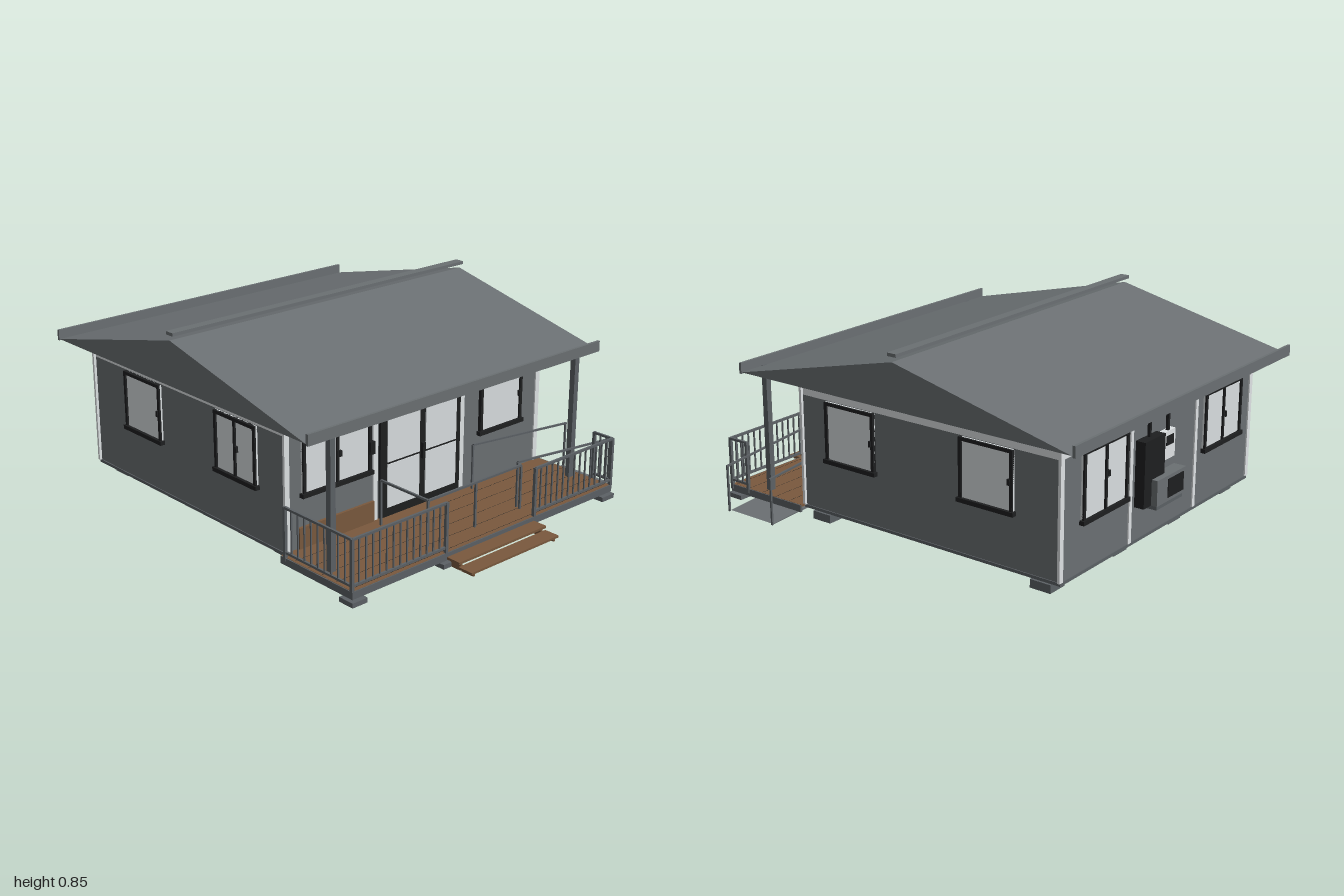
import * as THREE from 'three';

const mat = (name, color) => {
  const m = new THREE.MeshStandardMaterial({ color });
  m.name = name;
  return m;
};

export function createModel() {
  const grey = mat('slate grey', 0x6b7073);
  const light = mat('pale trim', 0xdfe3e5);
  const glass = mat('pale glass', 0xd9dee0);
  const black = mat('black frame', 0x1e1f20);
  const wood = mat('brown decking', 0x7a593d);
  const steel = mat('steel grey', 0x5c6165);

  const root = new THREE.Group();
  root.name = 'porchHouse';
  const group = (name) => {
    const g = new THREE.Group();
    g.name = name;
    root.add(g);
    return g;
  };
  // Box given by its limits on each axis
  const box = (parent, name, m, x0, x1, y0, y1, z0, z1) => {
    const mesh = new THREE.Mesh(new THREE.BoxGeometry(x1 - x0, y1 - y0, z1 - z0), m);
    mesh.position.set((x0 + x1) / 2, (y0 + y1) / 2, (z0 + z1) / 2);
    mesh.name = name;
    parent.add(mesh);
    return mesh;
  };
  // Square bar between two points
  const bar = (parent, name, m, a, b, t = 0.01) => {
    const p = new THREE.Vector3(...a), q = new THREE.Vector3(...b);
    const mesh = new THREE.Mesh(new THREE.BoxGeometry(t, t, p.distanceTo(q)), m);
    mesh.position.copy(p).lerp(q, 0.5);
    mesh.lookAt(q);
    mesh.name = name;
    parent.add(mesh);
  };

  // Walls: grey lower part, pale band under the roof
  const L = -0.755, R = 0.685, F = 0.445, B = -0.87;
  const walls = group('walls');
  box(walls, 'wall', grey, L, R, 0.05, 0.545, B, F);
  box(walls, 'wallBand', light, L, R, 0.545, 0.61, B, F);
  box(walls, 'floorSkirt', steel, L - 0.004, R + 0.004, 0.043, 0.056, B - 0.004, F + 0.004);
  for (const x of [L, R]) for (const z of [B, F]) {
    box(walls, 'cornerTrim', light, x - 0.012, x + 0.012, 0.056, 0.61, z - 0.006, z + 0.006);
  }
  for (const x of [0.21, -0.29]) {
    box(walls, 'backStrip', light, x - 0.01, x + 0.01, 0.056, 0.61, B - 0.006, B);
    box(walls, 'frontStrip', light, x - 0.012, x + 0.012, 0.056, 0.61, F, F + 0.006);
  }
  for (const x of [-0.51, -0.27, -0.03, 0.21, 0.45]) {
    box(walls, 'floorSeam', black, x - 0.002, x + 0.002, 0.041, 0.044, B, F);
  }

  // Roof: closed low gable, edge boards and raised ridge cap
  const roof = group('roof');
  const gable = new THREE.Shape([
    new THREE.Vector2(-0.69, 0.62), new THREE.Vector2(0.985, 0.62), new THREE.Vector2(0.145, 0.815),
  ]);
  const prism = new THREE.ExtrudeGeometry(gable, { depth: 1.65, bevelEnabled: false });
  prism.rotateY(Math.PI / 2);
  prism.translate(-0.86, 0, 0);
  const roofMesh = new THREE.Mesh(prism, grey);
  roofMesh.name = 'gableRoof';
  roof.add(roofMesh);
  box(roof, 'frontFascia', grey, -0.86, 0.79, 0.613, 0.66, 0.69, 0.702);
  box(roof, 'backFascia', grey, -0.86, 0.79, 0.613, 0.66, -1, -0.988);
  box(roof, 'ridgeCap', grey, -0.86, 0.79, 0.836, 0.85, -0.167, -0.123);

  // Window facing local +z, centred on its position
  const addWindow = (name, x, z, turn, w, y0, y1, panes) => {
    const g = group(name);
    g.position.set(x, 0, z);
    g.rotation.y = turn;
    const h = w / 2, t = 0.014;
    box(g, 'glass', glass, -h, h, y0, y1, 0, 0.008);
    box(g, 'head', black, -h, h, y1 - t, y1, 0, 0.016);
    box(g, 'sill', black, -h - 0.008, h + 0.008, y0 - 0.004, y0 + t, 0, 0.022);
    for (const s of [-1, 1]) {
      const c = s * (h - t / 2);
      box(g, 'jamb', black, c - t / 2, c + t / 2, y0, y1, 0, 0.016);
    }
    if (panes > 1) box(g, 'mullion', black, -0.006, 0.006, y0, y1, 0, 0.016);
    const lx = panes > 1 ? 0.012 : h - 0.016;
    box(g, 'latch', black, lx - 0.006, lx + 0.006, 0.4, 0.425, 0, 0.02);
  };
  const q = Math.PI / 2;
  addWindow('frontLeftWindow', -0.5, F, 0, 0.36, 0.28, 0.545, 2);
  addWindow('frontRightWindow', 0.445, F, 0, 0.26, 0.28, 0.545, 1);
  addWindow('sideWindow', R, 0.175, q, 0.265, 0.28, 0.543, 1);
  addWindow('sideWindow', R, -0.525, q, 0.26, 0.28, 0.543, 1);
  addWindow('sideWindow', L, 0.14, -q, 0.265, 0.28, 0.543, 2);
  addWindow('sideWindow', L, -0.5, -q, 0.26, 0.28, 0.543, 1);
  addWindow('backWindow', 0.4, B, Math.PI, 0.31, 0.255, 0.545, 2);
  addWindow('backWindow', -0.505, B, Math.PI, 0.31, 0.285, 0.545, 2);

  // Double glass doors
  const doors = group('glassDoors');
  box(doors, 'doorFrame', black, -0.268, 0.192, 0.056, 0.525, F, F + 0.012);
  for (const [x0, x1] of [[-0.232, -0.05], [-0.015, 0.165]]) {
    box(doors, 'upperGlass', glass, x0, x1, 0.302, 0.497, F + 0.008, F + 0.016);
    box(doors, 'lowerGlass', glass, x0, x1, 0.1, 0.292, F + 0.008, F + 0.016);
  }
  box(doors, 'doorHandle', black, -0.04, -0.025, 0.27, 0.34, F, F + 0.026);

  // Front wall fittings
  const fittings = group('frontFittings');
  box(fittings, 'woodPanel', wood, -0.7, -0.3, 0.06, 0.15, F, F + 0.012);
  box(fittings, 'woodSlat', wood, -0.7, -0.31, 0.56, 0.57, F, F + 0.02);
  box(fittings, 'wallLamp', black, -0.335, -0.31, 0.365, 0.42, F, F + 0.025);
  box(fittings, 'wallLamp', black, 0.615, 0.647, 0.492, 0.522, F, F + 0.025);
  const ring = new THREE.Mesh(new THREE.TorusGeometry(0.012, 0.002, 6, 20), black);
  ring.position.set(0.253, 0.547, F + 0.006);
  ring.name = 'wallRing';
  fittings.add(ring);

  // Utility boxes on the back wall
  const utility = group('utilityUnits');
  box(utility, 'tallCabinet', black, 0.025, 0.175, 0.2, 0.48, -0.915, B);
  box(utility, 'heatPump', grey, -0.1, 0.12, 0.2, 0.31, -0.942, -0.885);
  box(utility, 'pumpGrille', black, -0.08, 0.04, 0.215, 0.295, -0.945, -0.941);
  box(utility, 'bracket', steel, -0.09, 0.11, 0.18, 0.2, -0.935, B);
  box(utility, 'meterBox', light, -0.085, 0.0, 0.35, 0.47, -0.895, B);
  box(utility, 'meterScreen', black, -0.07, -0.015, 0.41, 0.45, -0.898, -0.894);
  for (const x of [0.1, -0.04]) bar(utility, 'conduit', black, [x, 0.47, -0.885], [x, 0.62, -0.885], 0.012);

  // Foundation pads
  const pads = group('foundation');
  for (const x of [-0.66, -0.22, 0.2, 0.64]) for (const z of [-0.78, 0.355]) {
    box(pads, 'pad', steel, x - 0.047, x + 0.047, 0, 0.036, z - 0.048, z + 0.048);
    box(pads, 'padPlate', steel, x - 0.03, x + 0.03, 0.03, 0.046, z - 0.03, z + 0.03);
  }
  for (const x of [-0.22, 0.2]) box(pads, 'pipeStub', steel, x - 0.02, x + 0.02, 0.014, 0.03, -0.74, -0.66);
  for (const x of [-0.76, -0.28, 0.215, 0.69]) {
    box(pads, 'deckFoot', steel, x - 0.038, x + 0.038, 0, 0.02, 0.8, 0.876);
    box(pads, 'deckStub', steel, x - 0.012, x + 0.012, 0.02, 0.04, 0.826, 0.85);
  }

  // Deck with plank top, edge frame and joists
  const deck = group('deck');
  box(deck, 'planks', wood, -0.785, 0.715, 0.05, 0.06, F, 0.86);
  box(deck, 'frontEdge', steel, -0.79, 0.72, 0.028, 0.059, 0.855, 0.865);
  for (const x of [-0.79, 0.71]) box(deck, 'sideEdge', steel, x, x + 0.01, 0.028, 0.059, F, 0.86);
  for (const x of [-0.53, -0.28, -0.03, 0.215, 0.47]) {
    box(deck, 'joist', steel, x - 0.006, x + 0.006, 0.03, 0.05, F, 0.86);
  }
  for (let z = 0.52; z < 0.86; z += 0.08) box(deck, 'plankGap', black, -0.78, 0.71, 0.06, 0.0603, z, z + 0.0015);

  // Two wooden steps
  const steps = group('steps');
  box(steps, 'upperTread', wood, -0.29, 0.22, 0.032, 0.042, 0.86, 0.932);
  box(steps, 'lowerTread', wood, -0.29, 0.22, 0.013, 0.022, 0.928, 1);
  for (const x of [-0.27, 0.2]) {
    box(steps, 'upperLeg', wood, x - 0.005, x + 0.005, 0, 0.032, 0.87, 0.925);
    box(steps, 'lowerLeg', wood, x - 0.005, x + 0.005, 0, 0.014, 0.93, 0.995);
  }

  // Porch posts
  for (const x of [-0.73, 0.66]) box(root, 'porchPost', steel, x - 0.013, x + 0.013, 0.06, 0.622, 0.665, 0.691);

  // Railing run with end posts and balusters
  const rails = group('railings');
  const railing = (x0, z0, x1, z1, count) => {
    for (const y of [0.272, 0.082]) bar(rails, 'rail', steel, [x0, y, z0], [x1, y, z1], 0.01);
    for (let i = 0; i <= count; i++) {
      const f = i / count, end = i === 0 || i === count;
      const x = x0 + (x1 - x0) * f, z = z0 + (z1 - z0) * f;
      bar(rails, end ? 'railPost' : 'baluster', steel, [x, end ? 0.04 : 0.08, z], [x, 0.275, z], end ? 0.013 : 0.006);
    }
  };
  railing(-0.785, 0.858, -0.29, 0.858, 14);
  railing(0.225, 0.858, 0.718, 0.858, 14);
  railing(-0.785, 0.858, -0.785, 0.47, 10);
  railing(0.718, 0.858, 0.718, 0.76, 3);
  // Inner handrail beside the doors
  bar(rails, 'innerRail', steel, [-0.305, 0.257, 0.5], [-0.305, 0.257, 0.77], 0.009);
  bar(rails, 'innerRail', steel, [-0.305, 0.257, 0.77], [0.235, 0.257, 0.77], 0.009);
  for (const [x, z] of [[-0.305, 0.5], [-0.305, 0.77], [-0.035, 0.77], [0.235, 0.77]]) {
    bar(rails, 'innerPost', steel, [x, 0.06, z], [x, 0.257, z], 0.009);
  }

  // Side ramp with sloping handrails
  const ramp = group('ramp');
  const side = new THREE.Shape([
    new THREE.Vector2(0.24, 0.03), new THREE.Vector2(0.835, 0), new THREE.Vector2(0.84, 0.003), new THREE.Vector2(0.24, 0.048),
  ]);
  const slope = new THREE.Mesh(new THREE.ExtrudeGeometry(side, { depth: 0.255, bevelEnabled: false }), grey);
  slope.position.z = 0.49;
  slope.name = 'rampSlope';
  ramp.add(slope);
  for (const z of [0.49, 0.747]) {
    bar(ramp, 'rampRail', steel, [0.24, 0.262, z], [0.85, 0.205, z], 0.008);
    bar(ramp, 'rampPost', steel, [0.845, 0, z], [0.845, 0.205, z], 0.008);
    bar(ramp, 'rampPost', steel, [0.24, 0.05, z], [0.24, 0.262, z], 0.008);
  }
  return root;
}
